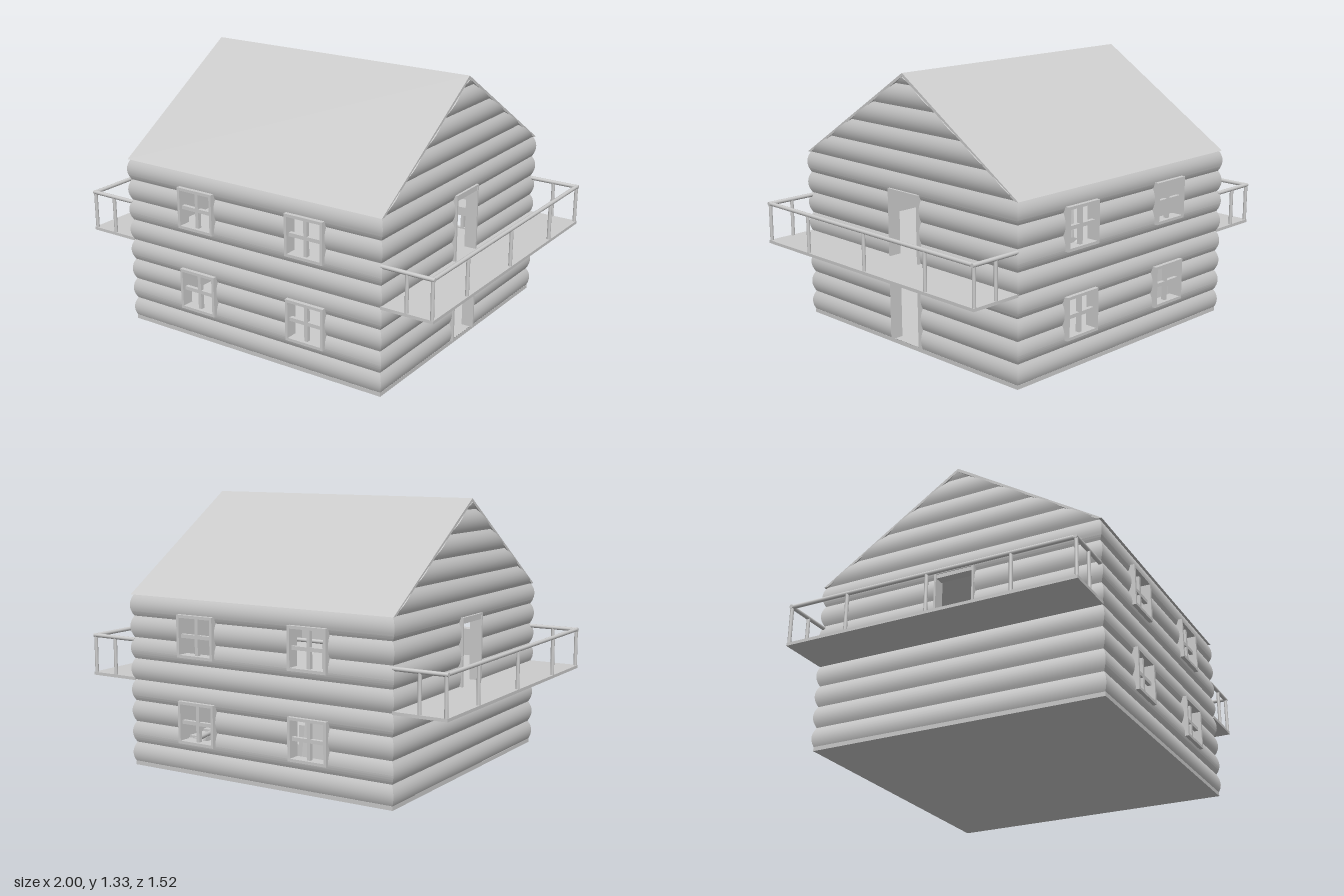
import * as THREE from 'three';
import { mergeGeometries, toCreasedNormals } from 'three/addons/utils/BufferGeometryUtils.js';

const grey = new THREE.MeshStandardMaterial({ color: 0xcccccc });
const red = new THREE.MeshStandardMaterial({ color: 0xcc1a1f });
const INNER = 0.7, FACE = 0.729, BULGE = 0.015; // wall depths from the centre
const LOG = 0.1056, BASE = 0.01, EAVE = BASE + 8 * LOG, RIDGE = 1.33, HALF = 0.742;

function addMesh(parent, name, geometry, material = grey) {
  const mesh = new THREE.Mesh(geometry, material);
  mesh.name = name;
  parent.add(mesh);
  return mesh;
}

// Box given by its lower and upper corners
function box(x0, x1, y0, y1, z0, z1) {
  return new THREE.BoxGeometry(x1 - x0, y1 - y0, z1 - z0)
    .translate((x0 + x1) / 2, (y0 + y1) / 2, (z0 + z1) / 2);
}

// Round bar between two points
function bar(a, b, r = 0.01) {
  const from = new THREE.Vector3(...a), to = new THREE.Vector3(...b);
  const dir = to.clone().sub(from), len = dir.length();
  const g = new THREE.CylinderGeometry(r, r, len, 10);
  g.applyQuaternion(new THREE.Quaternion().setFromUnitVectors(new THREE.Vector3(0, 1, 0), dir.normalize()));
  return g.translate(...from.add(to).multiplyScalar(0.5).toArray());
}

// Piece of log row from y0 to y1; left(y, z) and right(y, z) give its ends
function logPiece(row, y0, y1, left, right) {
  const start = BASE + row * LOG, steps = 8;
  const shape = new THREE.Shape();
  shape.moveTo(INNER, y0);
  for (let i = 0; i <= steps; i++) {
    const y = y0 + (y1 - y0) * i / steps;
    const s = 2 * (y - start) / LOG - 1;
    shape.lineTo(FACE + BULGE * Math.max(0, 1 - s * s), y);
  }
  shape.lineTo(INNER, y1);
  const g = new THREE.ExtrudeGeometry(shape, { depth: 1, bevelEnabled: false });
  const p = g.attributes.position;
  for (let i = 0; i < p.count; i++) {
    const z = p.getX(i), y = p.getY(i), t = p.getZ(i);
    p.setXYZ(i, right(y, z) + (left(y, z) - right(y, z)) * t, y, z);
  }
  return toCreasedNormals(g, 0.3);
}

// Eight log rows, mitred at the corners, cut around openings [u0, u1, y0, y1]
function logWall(openings) {
  const pieces = [];
  for (let row = 0; row < 8; row++) {
    const y0 = BASE + row * LOG, y1 = y0 + LOG;
    const cuts = [y0, y1];
    openings.forEach(o => cuts.push(...[o[2], o[3]].filter(y => y > y0 + 0.002 && y < y1 - 0.002)));
    const ys = [...new Set(cuts)].sort((a, b) => a - b);
    for (let k = 0; k + 1 < ys.length; k++) {
      const mid = (ys[k] + ys[k + 1]) / 2;
      const gaps = openings.filter(o => mid > o[2] && mid < o[3]).sort((a, b) => a[0] - b[0]);
      let left = (y, z) => -z;
      for (const o of gaps) {
        pieces.push(logPiece(row, ys[k], ys[k + 1], left, () => o[0]));
        left = () => o[1];
      }
      pieces.push(logPiece(row, ys[k], ys[k + 1], left, (y, z) => z));
    }
  }
  return mergeGeometries(pieces);
}

// Triangular gable of log rows that follow the roof slope
function gable() {
  const pieces = [], top = RIDGE - 0.018;
  const half = y => (HALF - 0.012) * Math.max(0, (top - y) / (top - EAVE));
  for (let row = 8; BASE + row * LOG < top; row++) {
    const y0 = BASE + row * LOG;
    pieces.push(logPiece(row, y0, Math.min(y0 + LOG, top), y => -half(y), half));
  }
  return mergeGeometries(pieces);
}

// Raised border round an opening
function border([u0, u1, y0, y1], w, z0, z1, sill = true) {
  const parts = [
    box(u0 - w, u0 + w, y0, y1 + w, z0, z1), box(u1 - w, u1 + w, y0, y1 + w, z0, z1),
    box(u0, u1, y1 - w, y1 + w, z0, z1),
  ];
  if (sill) parts.push(box(u0 - w, u1 + w, y0 - w, y0 + w, z0, z1));
  return parts;
}

function windowFrame(o) {
  const u = (o[0] + o[1]) / 2, y = (o[2] + o[3]) / 2;
  return mergeGeometries([
    ...border(o, 0.007, 0.7, 0.762),
    box(u - 0.009, u + 0.009, o[2], o[3], 0.725, 0.745),
    box(o[0], o[1], y - 0.009, y + 0.009, 0.725, 0.745),
  ]);
}

function doorFrame(o) {
  return mergeGeometries([...border(o, 0.005, 0.69, 0.752, false), box(o[0], o[1], o[3] - 0.025, o[3], 0.7, 0.748)]);
}

// Deck with a railing on its three open sides, on the +x side
function balcony() {
  const group = new THREE.Group();
  group.name = 'balcony';
  const x = 0.988, z = 0.728, low = 0.44, high = 0.63;
  addMesh(group, 'balconyDeck', box(0.73, 0.998, 0.428, 0.443, -0.736, 0.736));
  const bars = [bar([x, high, -z], [x, high, z])];
  for (const pz of [-z, -0.42, 0, 0.42, z]) bars.push(bar([x, low, pz], [x, high, pz], 0.009));
  for (const s of [-z, z]) {
    bars.push(bar([0.73, high, s], [x + 0.01, high, s]));
    bars.push(bar([0.86, low, s], [0.86, high, s], 0.009));
  }
  addMesh(group, 'balconyRailing', mergeGeometries(bars));
  return group;
}

// Stairs and simple furniture
function interior() {
  const group = new THREE.Group();
  group.name = 'interior';
  const steps = [];
  for (let i = 0; i < 9; i++) {
    const x = 0.66 - i * 0.085, y = 0.05 + i * 0.0433;
    steps.push(box(x - 0.05, x + 0.05, y - 0.012, y, -0.55, -0.35));
  }
  for (const z of [-0.56, -0.34]) steps.push(bar([0.69, 0.02, z], [-0.1, 0.428, z], 0.012));
  addMesh(group, 'stairs', mergeGeometries(steps));
  const rail = [bar([-0.1, 0.63, -0.3], [0.315, 0.63, -0.3])];
  for (const x of [-0.1, 0.1, 0.255, 0.31]) rail.push(bar([x, 0.44, -0.3], [x, 0.63, -0.3], 0.008));
  addMesh(group, 'stairRailing', mergeGeometries(rail));
  addMesh(group, 'redChair', mergeGeometries([
    box(-0.2, -0.17, 0.02, 0.265, -0.05, 0.05), box(-0.17, -0.06, 0.02, 0.13, -0.05, 0.05),
  ]), red);
  addMesh(group, 'sofa', mergeGeometries([
    box(0.0, 0.05, 0.02, 0.2, -0.3, 0), box(0.05, 0.16, 0.02, 0.1, -0.3, 0), box(0.05, 0.17, 0.07, 0.14, -0.12, -0.045),
  ]));
  // Hearth narrowing towards the top
  const hearth = new THREE.CylinderGeometry(0.13, 0.17, 0.4, 4, 1).rotateY(Math.PI / 4).toNonIndexed();
  hearth.computeVertexNormals();
  addMesh(group, 'hearth', hearth.translate(-0.32, 0.22, -0.55));
  return group;
}

export function createModel() {
  const model = new THREE.Group();
  model.name = 'logCabin';

  const windows = [];
  for (const [a, b] of [[-0.4, -0.205], [0.235, 0.432]])
    for (const y of [0.16, 0.58]) windows.push([a, b, y, y + 0.193]);
  const mirrored = windows.map(([a, b, c, d]) => [-b, -a, c, d]);
  const lowerDoor = [-0.1, 0.1, 0.022, 0.34], upperDoor = [-0.1, 0.1, 0.443, 0.77];

  const sides = [
    { name: 'frontWall', turn: 0, windows, doors: [] },
    { name: 'backWall', turn: Math.PI, windows: mirrored, doors: [] },
    { name: 'leftWall', turn: Math.PI / 2, windows: [], doors: [lowerDoor, upperDoor] },
    { name: 'rightWall', turn: -Math.PI / 2, windows: [], doors: [upperDoor] },
  ];
  for (const side of sides) {
    const wall = new THREE.Group();
    wall.name = side.name;
    wall.rotation.y = side.turn;
    addMesh(wall, 'logs', logWall([...side.windows, ...side.doors]));
    side.windows.forEach(o => addMesh(wall, 'windowFrame', windowFrame(o)));
    side.doors.forEach(o => addMesh(wall, 'doorFrame', doorFrame(o)));
    if (side.doors.length) addMesh(wall, 'gable', gable());
    model.add(wall);
  }

  // Thin pitched roof with its ridge along x
  const roof = new THREE.Shape([
    [-HALF, EAVE], [-HALF + 0.022, EAVE], [0, RIDGE - 0.016], [HALF - 0.022, EAVE], [HALF, EAVE], [0, RIDGE],
  ].map(p => new THREE.Vector2(...p)));
  const roofGeo = new THREE.ExtrudeGeometry(roof, { depth: 1.476, bevelEnabled: false });
  addMesh(model, 'roof', roofGeo.translate(0, 0, -0.738).rotateY(Math.PI / 2));

  addMesh(model, 'groundFloor', box(-0.735, 0.735, 0, 0.02, -0.735, 0.735));

  // Upper floor with a stairwell at the back
  const floor = [
    box(-0.71, 0.71, 0.428, 0.443, -0.3, 0.71), box(-0.71, 0.71, 0.428, 0.443, -0.71, -0.58),
    box(-0.71, -0.1, 0.428, 0.443, -0.58, -0.3),
  ];
  addMesh(model, 'upperFloor', mergeGeometries(floor));

  const left = balcony(), right = balcony();
  right.rotation.y = Math.PI;
  model.add(left, right, interior());
  return model;
}
